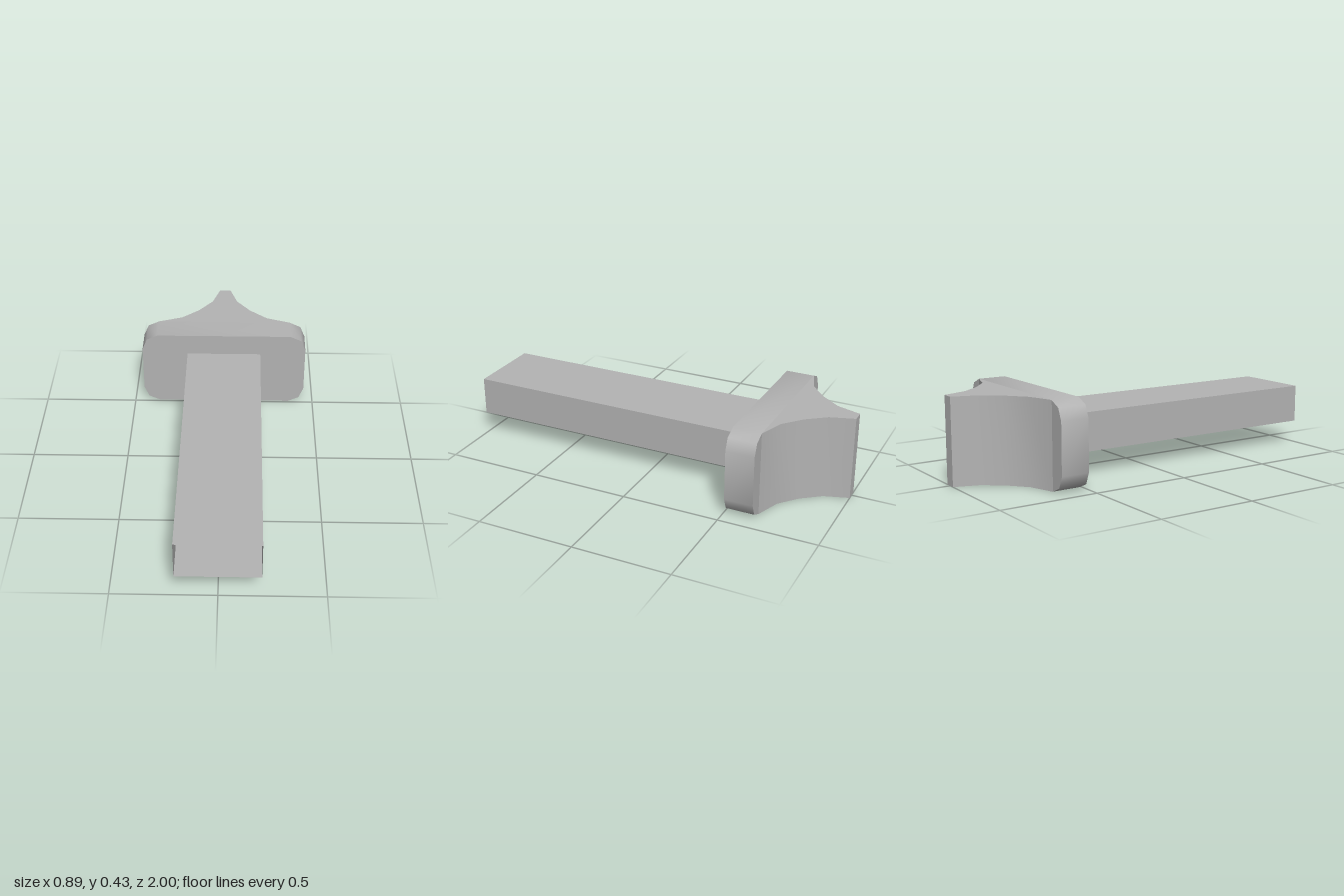
import * as THREE from 'three';
import { toCreasedNormals } from 'three/addons/utils/BufferGeometryUtils.js';

const HEIGHT = 0.43;

// Extruded outline with smooth curves and sharp rims
function extrude(points, depth) {
  const shape = new THREE.Shape(points.map(([x, y]) => new THREE.Vector2(x, y)));
  const geometry = new THREE.ExtrudeGeometry(shape, { depth, bevelEnabled: false });
  return toCreasedNormals(geometry, 0.8);
}

export function createModel() {
  const model = new THREE.Group();
  const grey = new THREE.MeshStandardMaterial({ color: 0xb3b3b3, side: THREE.DoubleSide });
  grey.name = 'grey';

  const add = (name, geometry) => {
    const mesh = new THREE.Mesh(geometry, grey);
    mesh.name = name;
    model.add(mesh);
    return mesh;
  };

  // Thin square-section sleeve, open at both ends: keep only the four side faces
  const tube = new THREE.BoxGeometry(0.4, 0.196, 1.51);
  tube.setIndex(Array.from(tube.index.array.slice(0, 24)));
  tube.clearGroups();
  add('hollowShaft', tube).position.set(0, 0.217, 0.245);

  // Collar plate with softened corners
  const corner = [[0.447, 0.128], [0.422, 0.188], [0.363, 0.215]];
  const rightHalf = [...corner.map(([x, y]) => [x, -y]).reverse(), ...corner];
  const leftHalf = rightHalf.map(([x, y]) => [-x, -y]);
  add('collarPlate', extrude([...rightHalf, ...leftHalf], 0.145))
    .position.set(0, HEIGHT / 2, -0.655);

  // Concave wedge narrowing to a blunt edge at the back
  const side = [[0.365, 0.655], [0.236, 0.70], [0.143, 0.78], [0.069, 0.877], [0.03, 1]];
  const mirrored = side.map(([x, z]) => [-x, z]).reverse();
  const wedge = extrude([...side, ...mirrored], HEIGHT);
  wedge.rotateX(-Math.PI / 2);
  add('rearWedge', wedge);

  return model;
}
